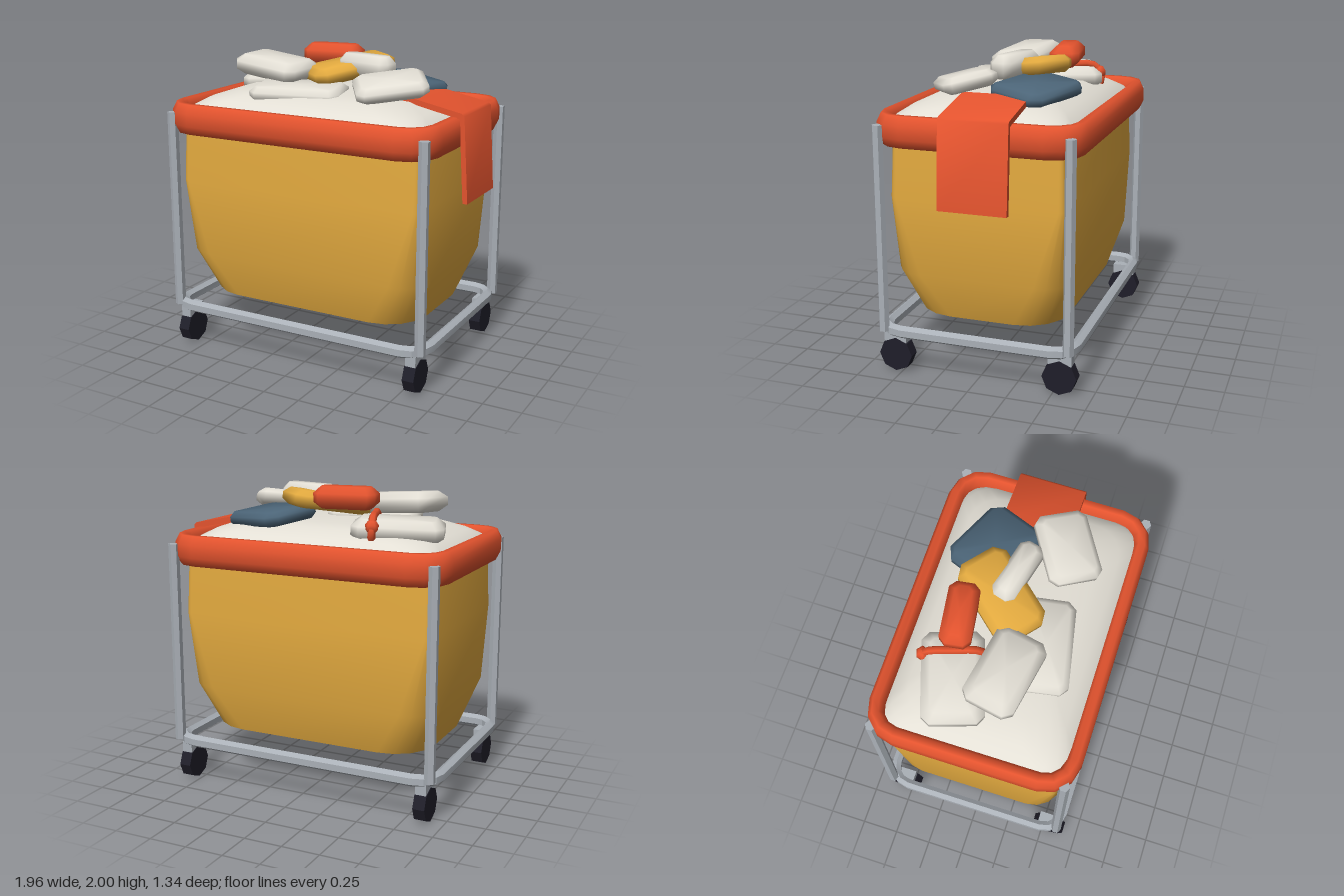
import * as THREE from 'three';
import { toCreasedNormals } from 'three/addons/utils/BufferGeometryUtils.js';

const mat = (name, color) => {
  const m = new THREE.MeshStandardMaterial({ color });
  m.name = name;
  return m;
};

// Rounded rectangle outline in the xz plane
function outline(hx, hz, r, segs) {
  const pts = [];
  const corners = [[1, 1], [-1, 1], [-1, -1], [1, -1]];
  corners.forEach(([sx, sz], q) => {
    for (let i = 0; i <= segs; i++) {
      const a = (q + i / segs) * Math.PI / 2;
      pts.push([sx * (hx - r) + r * Math.cos(a), sz * (hz - r) + r * Math.sin(a)]);
    }
  });
  return pts;
}

// Skin over rings given as [y, halfX, halfZ, cornerRadius]; closed joins last to first
function loft(rings, segs, { closed = false, crease = 0.75 } = {}) {
  const pos = [], index = [], n = 4 * (segs + 1), count = rings.length;
  for (const [y, hx, hz, r] of rings) {
    for (const [x, z] of outline(hx, hz, r, segs)) pos.push(x, y, z);
  }
  for (let k = 0; k < (closed ? count : count - 1); k++) {
    for (let i = 0; i < n; i++) {
      const a = k * n + i, b = k * n + (i + 1) % n;
      const c = ((k + 1) % count) * n + i, d = ((k + 1) % count) * n + (i + 1) % n;
      index.push(a, c, b, b, c, d);
    }
  }
  if (!closed) {
    const bottom = pos.length / 3, top = bottom + 1, last = (count - 1) * n;
    pos.push(0, rings[0][0], 0, 0, rings[count - 1][0], 0);
    for (let i = 0; i < n; i++) {
      const j = (i + 1) % n;
      index.push(bottom, i, j, top, last + j, last + i);
    }
  }
  const g = new THREE.BufferGeometry();
  g.setAttribute('position', new THREE.Float32BufferAttribute(pos, 3));
  g.setIndex(index);
  return toCreasedNormals(g, crease);
}

// Elliptical bar swept round a rounded rectangle
function hoop(y, hx, hz, r, a, b, sides, segs, crease) {
  const rings = [];
  for (let i = 0; i < sides; i++) {
    const t = (i + 0.5) / sides * Math.PI * 2;
    const o = a * Math.cos(t);
    rings.push([y + b * Math.sin(t), hx + o, hz + o, r + o]);
  }
  return loft(rings, segs, { closed: true, crease });
}

// Folded bundle with soft bevelled edges
function bundle(w, h, d, r) {
  const x = w / 2, z = d / 2, e = Math.min(h * 0.4, z * 0.45);
  const s = Math.max(r - e, 0.025);
  return loft([
    [-h / 2, x - e, z - e, s],
    [-h * 0.2, x, z, r],
    [h * 0.2, x, z, r],
    [h / 2, x - e, z - e, s],
  ], 1, { crease: 1.3 });
}

export function createModel() {
  const red = mat('red', 0xe3532e), yellow = mat('ochre', 0xe3aa3f);
  const white = mat('linen white', 0xe3dfd5), blue = mat('slate blue', 0x4c6578);
  const steel = mat('steel', 0xaab0b7), dark = mat('dark rubber', 0x1f1e29);

  const model = new THREE.Group();
  model.name = 'laundryCart';
  const cart = new THREE.Group();
  cart.name = 'cart';
  cart.position.x = -0.03;
  model.add(cart);
  const add = (parent, name, geo, material, x = 0, y = 0, z = 0) => {
    const m = new THREE.Mesh(geo, material);
    m.name = name;
    m.position.set(x, y, z);
    parent.add(m);
    return m;
  };

  // Cloth bag, rim and heaped linen
  add(cart, 'bag', loft([
    [0.37, 0.77, 0.49, 0.28], [0.66, 0.865, 0.57, 0.2],
    [1.15, 0.86, 0.562, 0.04], [1.56, 0.842, 0.542, 0.03],
  ], 4, { crease: 0.9 }), yellow);
  add(cart, 'rim', hoop(1.577, 0.903, 0.619, 0.17, 0.054, 0.106, 8, 3, 1.3), red);
  add(cart, 'linenMound', loft([
    [1.58, 0.88, 0.6, 0.17], [1.64, 0.84, 0.56, 0.18], [1.69, 0.76, 0.49, 0.2],
    [1.742, 0.61, 0.38, 0.2], [1.758, 0.38, 0.25, 0.16], [1.765, 0.15, 0.1, 0.08],
  ], 4, { crease: 1.2 }), white, 0, 0, 0.02);

  // Tube frame with casters
  add(cart, 'baseRail', hoop(0.285, 0.91, 0.62, 0.13, 0.036, 0.042, 6, 3, 0.4), steel);
  const postGeo = toCreasedNormals(new THREE.CylinderGeometry(0.035, 0.035, 1.33, 6), 0.4);
  const wheelGeo = toCreasedNormals(new THREE.CylinderGeometry(0.111, 0.111, 0.078, 8).rotateZ(Math.PI / 2), 0.4);
  const forkGeo = new THREE.BoxGeometry(0.07, 0.07, 0.15);
  for (const sx of [-1, 1]) {
    for (const sz of [-1, 1]) {
      add(cart, 'post', postGeo, steel, sx * 0.898 + 0.008, 0.945, sz * 0.606);
      add(cart, 'casterFork', forkGeo, steel, sx * 0.843 + 0.005, 0.23, sz * 0.545);
      add(cart, 'wheel', wheelGeo, dark, sx * 0.843 + 0.005, 0.113, sz * 0.543);
    }
  }

  // Bundles: name, material, position, size, rotation (yaw last), corner radius
  const bundles = [
    ['tiedBundle', white, [-0.53, 1.745, -0.21], [0.57, 0.14, 0.38], [0, 0.32, 0.03], 0.05],
    ['frontBundle', white, [-0.17, 1.75, 0.25], [0.6, 0.1, 0.33], [0.08, 0.2, 0], 0.05],
    ['foldedCloth', blue, [0.35, 1.785, -0.23], [0.5, 0.09, 0.42], [-0.1, -0.4, -0.08], 0.065],
    ['upperBundle', white, [-0.44, 1.875, 0.085], [0.52, 0.13, 0.33], [0.05, -0.18, -0.08], 0.05],
    ['sideBundle', white, [0.455, 1.832, 0.2], [0.45, 0.1, 0.34], [0.2, 0.59, 0.12], 0.045],
    ['ochreBundle', yellow, [0.015, 1.875, -0.085], [0.56, 0.11, 0.34], [0, 0.87, 0.16], 0.06],
    ['topRoll', white, [0.175, 1.905, -0.035], [0.41, 0.15, 0.16], [0, -0.24, 0], 0.04],
    ['redRoll', red, [-0.2, 1.93, -0.27], [0.4, 0.14, 0.19], [0, 0.14, 0], 0.04],
  ];
  let tied;
  for (const [name, material, p, s, rot, r] of bundles) {
    const m = add(model, name, bundle(...s, r), material, ...p);
    m.rotation.set(...rot, 'YXZ');
    if (name === 'tiedBundle') tied = m;
  }

  // Cord round the tied bundle, with a knot
  const loop = [[0.08, 0.14], [0.085, 0], [0.08, -0.14], [0, -0.2], [-0.08, -0.14], [-0.08, 0.14], [0, 0.2]]
    .map(([y, z]) => new THREE.Vector3(0.15, y, z));
  const cord = new THREE.CatmullRomCurve3(loop, true);
  add(tied, 'cord', new THREE.TubeGeometry(cord, 21, 0.025, 6, true), red);
  add(tied, 'knot', new THREE.SphereGeometry(0.045, 6, 5), red, 0.15, 0.03, -0.18);

  // Cloth draped over the rim
  const profile = [[0.53, 1.745], [0.915, 1.665], [0.95, 1.14], [0.982, 1.14], [0.945, 1.685], [0.928, 1.7], [0.54, 1.778]];
  const drape = toCreasedNormals(new THREE.ExtrudeGeometry(
    new THREE.Shape(profile.map(([x, y]) => new THREE.Vector2(x, y))),
    { depth: 0.44, bevelEnabled: false }), 0.9);
  add(model, 'drapedCloth', drape, red, 0, 0, -0.255);

  return model;
}
